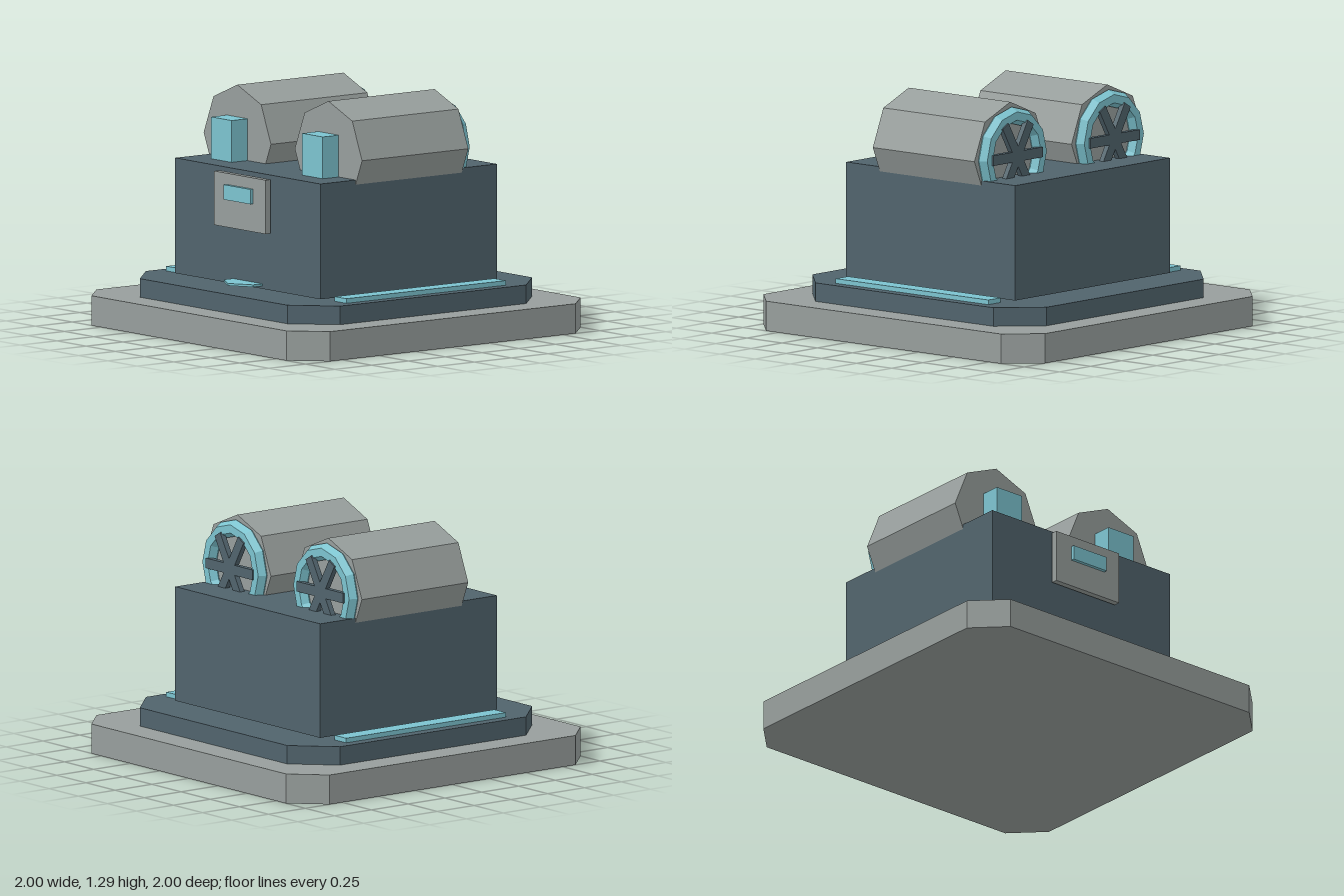
import * as THREE from 'three';

const material = (name, color) => {
  const m = new THREE.MeshStandardMaterial({ color, flatShading: true });
  m.name = name;
  return m;
};

export function createModel() {
  const model = new THREE.Group();
  model.name = 'twinDrumMachine';
  const gray = material('warmGray', 0x979e9c);
  const slate = material('slateBlue', 0x50636c);
  const cyan = material('paleCyan', 0x7cc3cf);

  const add = (name, geometry, mat, x, y, z, parent = model) => {
    const mesh = new THREE.Mesh(geometry, mat);
    mesh.name = name;
    mesh.position.set(x, y, z);
    parent.add(mesh);
    return mesh;
  };
  const box = (w, h, d) => new THREE.BoxGeometry(w, h, d);

  // Square plate with cut corners, lying flat with its underside at y = 0
  const plate = (r, cut, height) => {
    const k = r - cut;
    const shape = new THREE.Shape([
      [r, -k], [r, k], [k, r], [-k, r], [-r, k], [-r, -k], [-k, -r], [k, -r],
    ].map(([x, y]) => new THREE.Vector2(x, y)));
    return new THREE.ExtrudeGeometry(shape, { depth: height, bevelEnabled: false }).rotateX(-Math.PI / 2);
  };

  // Stepped base and main housing
  add('basePlate', plate(1, 0.165, 0.16), gray, 0, 0, 0);
  add('upperPlate', plate(0.832, 0.2, 0.1), slate, 0, 0.16, 0);
  add('housing', box(1.244, 0.62, 1.2), slate, 0, 0.58, 0);

  // Front control panel and its display
  add('controlPanel', box(0.44, 0.29, 0.035), gray, 0, 0.725, 0.637);
  add('display', box(0.23, 0.08, 0.02), cyan, 0, 0.77, 0.664);

  // Six-sided floor marker under the front face
  add('floorMarker', new THREE.CylinderGeometry(0.145, 0.145, 0.012, 6), cyan, 0, 0.291, 0.59);

  for (const [side, s] of [['left', 1], ['right', -1]]) {
    add(`${side}LightStrip`, box(0.1, 0.026, 1.085), cyan, s * 0.722, 0.272, 0);

    // Eight-sided drum with a front block, rear ring and fan
    const drum = new THREE.Group();
    drum.name = `${side}Drum`;
    drum.position.set(s * 0.39, 1, 0);
    model.add(drum);
    add('drumBody', new THREE.CylinderGeometry(0.288, 0.288, 0.722, 8).rotateX(Math.PI / 2), gray, 0, 0, 0, drum);
    add('frontBlock', box(0.176, 0.23, 0.12), cyan, 0, 0, 0.41, drum);
    add('rearRing', new THREE.TorusGeometry(0.217, 0.045, 6, 12), cyan, 0, 0, -0.37, drum);
    for (let i = 0; i < 3; i++) {
      add('fanBlade', box(0.4, 0.055, 0.03), slate, 0, 0, -0.403, drum).rotation.z = i * Math.PI / 3;
    }
  }
  return model;
}
